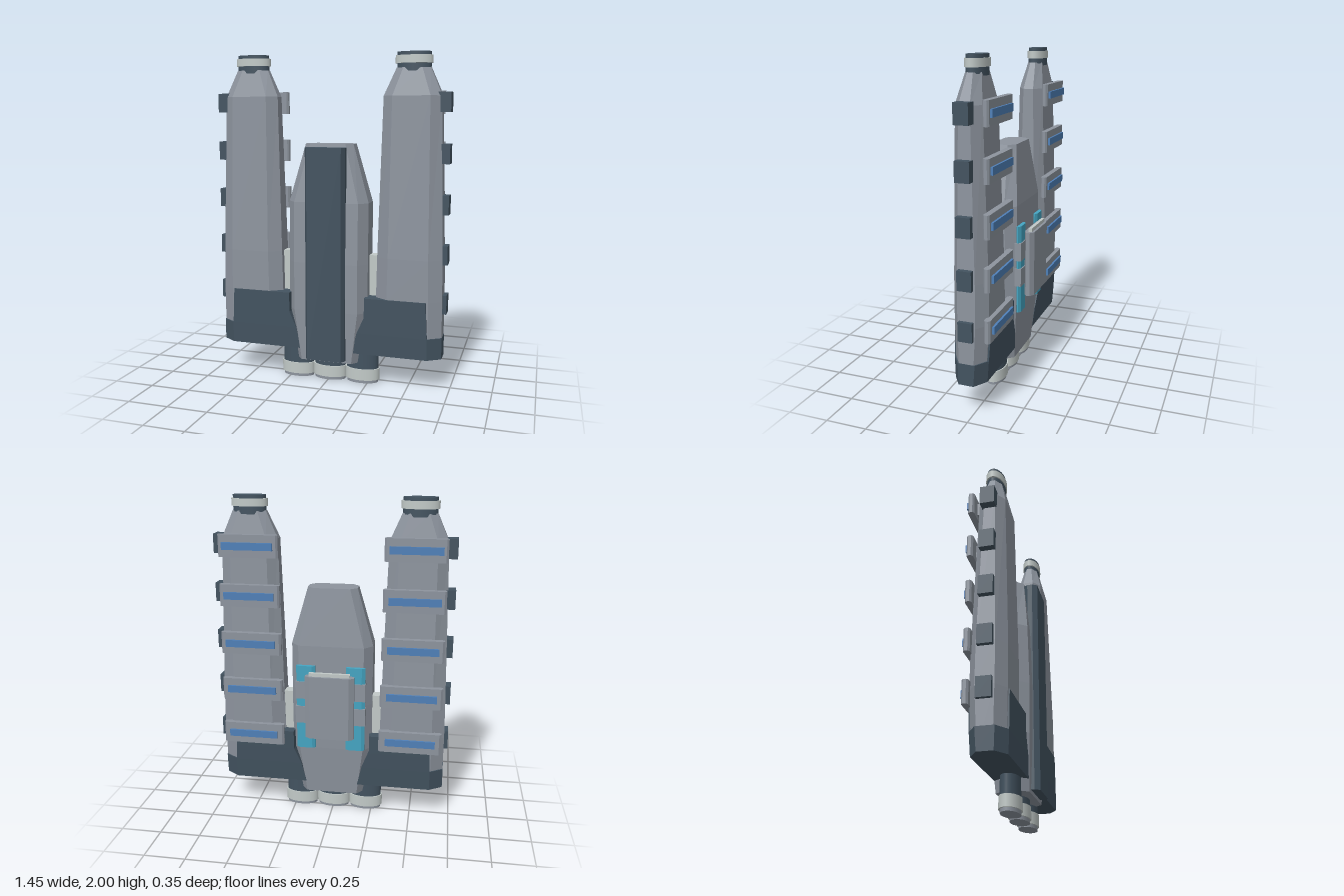
import * as THREE from 'three';

const mat = (name, color, flat) => {
  const m = new THREE.MeshStandardMaterial({ color });
  m.name = name;
  return m;
};

export function createModel() {
  const hullGrey = mat('hull grey', 0x8d949e);
  const slate = mat('dark slate', 0x435360);
  const pale = mat('pale trim', 0xc2cac8);
  const blue = mat('panel blue', 0x4f80b8);
  const cyan = mat('cyan light', 0x45a5c2);

  const root = new THREE.Group();
  root.name = 'twinPodShip';

  const add = (name, geo, material, parent = root) => {
    const m = new THREE.Mesh(geo, material);
    m.name = name;
    parent.add(m);
    return m;
  };

  // Box given by its limits on each axis
  const box = (name, x0, x1, y0, y1, z0, z1, material, parent) => {
    const m = add(name, new THREE.BoxGeometry(Math.abs(x1 - x0), y1 - y0, z1 - z0), material, parent);
    m.position.set((x0 + x1) / 2, (y0 + y1) / 2, (z0 + z1) / 2);
    return m;
  };

  // Chamfered rectangle in x and z; cin is the chamfer on the low-x side
  const ring = (x0, x1, z0, z1, c, cz, cin = c) => [
    [x0 + cin, z1], [x1 - c, z1], [x1, z1 - cz], [x1, z0 + cz],
    [x1 - c, z0], [x0 + cin, z0], [x0, z0 + cz], [x0, z1 - cz],
  ];

  // Faceted solid through rings stacked upwards; side -1 mirrors it in x
  const loft = (sections, side = 1) => {
    const rings = sections.map(([y, ...r]) => {
      const pts = ring(...r).map(([x, z]) => [x * side, y, z]);
      return side < 0 ? pts.reverse() : pts;
    });
    const pos = [];
    const tri = (a, b, c) => pos.push(...a, ...b, ...c);
    for (let k = 0; k < rings.length - 1; k++) {
      const lo = rings[k], up = rings[k + 1];
      for (let i = 0; i < 8; i++) {
        const j = (i + 1) % 8;
        tri(lo[i], lo[j], up[j]);
        tri(lo[i], up[j], up[i]);
      }
    }
    const bottom = rings[0], top = rings[rings.length - 1];
    for (let i = 1; i < 7; i++) {
      tri(top[0], top[i], top[i + 1]);
      tri(bottom[0], bottom[i + 1], bottom[i]);
    }
    const g = new THREE.BufferGeometry();
    g.setAttribute('position', new THREE.Float32BufferAttribute(pos, 3));
    g.computeVertexNormals();
    return g;
  };

  // Elliptical drum between two heights
  const drum = (name, x, z, y0, y1, rx, rz, material, parent) => {
    const m = add(name, new THREE.CylinderGeometry(1, 1, y1 - y0, 24), material, parent);
    m.scale.set(rx, 1, rz);
    m.position.set(x, (y0 + y1) / 2, z);
    return m;
  };

  // Central hull with front spine
  add('hull', loft([
    [0.13, -0.2, 0.2, -0.065, 0.125, 0.04, 0.05],
    [0.45, -0.25, 0.25, -0.09, 0.138, 0.05, 0.06],
    [0.75, -0.25, 0.25, -0.1, 0.14, 0.05, 0.06],
    [1.12, -0.25, 0.25, -0.095, 0.13, 0.05, 0.06],
    [1.47, -0.15, 0.15, -0.06, 0.09, 0.04, 0.04],
  ]), hullGrey);
  add('spine', loft([
    [0.15, -0.125, 0.125, 0.085, 0.175, 0.018, 0.03],
    [1.45, -0.125, 0.125, 0.085, 0.175, 0.018, 0.03],
  ]), slate);

  // Rear hatch with its pale core
  add('rearHatch', loft([
    [0.55, -0.15, 0.15, -0.178, -0.115, 0.03, 0.02],
    [0.95, -0.15, 0.15, -0.178, -0.115, 0.03, 0.02],
  ]), hullGrey);
  box('hatchCore', -0.125, 0.125, 0.57, 0.972, -0.163, -0.143, pale);
  box('hatchMount', -0.1, 0.1, 0.58, 0.92, -0.12, -0.08, hullGrey);

  // Engines
  for (const x of [-0.21, 0, 0.21]) {
    const engine = new THREE.Group();
    engine.name = 'engine';
    root.add(engine);
    drum('engineNeck', x, 0.032, 0.08, 0.4, 0.1, 0.055, slate, engine);
    drum('engineRing', x, 0.032, 0.02, 0.09, 0.108, 0.062, pale, engine);
    drum('engineNozzle', x, 0.032, 0, 0.03, 0.098, 0.054, hullGrey, engine);
  }

  for (const s of [1, -1]) {
    const label = s > 0 ? 'left' : 'right';
    const pod = new THREE.Group();
    pod.name = label + 'Pod';
    root.add(pod);

    // Tapered pod body
    add('podBody', loft([
      [0.21, 0.3, 0.7, -0.065, 0.115, 0.075, 0.05],
      [0.55, 0.3, 0.7, -0.085, 0.12, 0.075, 0.05],
      [0.8, 0.305, 0.695, -0.085, 0.12, 0.075, 0.05],
      [1.75, 0.33, 0.67, -0.057, 0.097, 0.06, 0.045],
      [1.91, 0.4, 0.6, -0.032, 0.06, 0.045, 0.03],
    ], s), hullGrey, pod);

    // Boot: low wrap with chamfered end, and the higher cuff
    add('bootBase', loft([
      [0.2, 0.16, 0.702, -0.072, 0.124, 0.08, 0.053, 0.004],
      [0.33, 0.19, 0.702, -0.082, 0.127, 0.08, 0.053, 0.004],
    ], s), slate, pod);
    add('bootCuff', loft([
      [0.33, 0.19, 0.625, -0.082, 0.127, 0.004, 0.05, 0.004],
      [0.43, 0.235, 0.62, -0.088, 0.127, 0.004, 0.05, 0.004],
      [0.55, 0.235, 0.615, -0.093, 0.127, 0.004, 0.05, 0.004],
    ], s), slate, pod);

    // Nose cap
    drum('noseNeck', s * 0.5, 0.013, 1.89, 2, 0.1, 0.053, slate, pod);
    drum('noseRing', s * 0.5, 0.013, 1.935, 1.98, 0.11, 0.059, pale, pod);

    // Side blocks and rear panels, evenly spaced up the pod
    for (let i = 0; i < 5; i++) {
      const y = 0.53 + 0.296 * i;
      const w = 0.192 - 0.003 * i;
      box('sideBlock', s * 0.65, s * 0.723, y - 0.057, y + 0.057, -0.025, 0.06, slate, pod);
      add('rearPanel', loft([
        [y - 0.067, 0.49 - w, 0.49 + w, -0.112, -0.075, 0.012, 0.01],
        [y + 0.067, 0.49 - w, 0.49 + w, -0.112, -0.075, 0.012, 0.01],
      ], s), hullGrey, pod);
      box('rearPanelMount', s * 0.4, s * 0.6, y - 0.04, y + 0.04, -0.08, -0.03, hullGrey, pod);
      box('rearPanelStrip', s * 0.34, s * 0.645, y - 0.022, y + 0.022, -0.125, -0.111, blue, pod);
    }

    // Strut between hull and pod
    box(label + 'Strut', s * 0.2, s * 0.34, 0.4, 0.8, -0.032, 0.036, pale);

    // Lit strips beside the hatch with their clamps
    add(label + 'LightStrip', loft([
      [0.46, 0.095, 0.212, -0.12, -0.088, 0.02, 0.012],
      [1.0, 0.095, 0.212, -0.12, -0.088, 0.02, 0.012],
    ], s), cyan);
    for (const y of [0.685, 0.845]) {
      box(label + 'LightClamp', s * 0.09, s * 0.216, y - 0.055, y + 0.055, -0.126, -0.085, hullGrey);
    }
  }
  return root;
}
